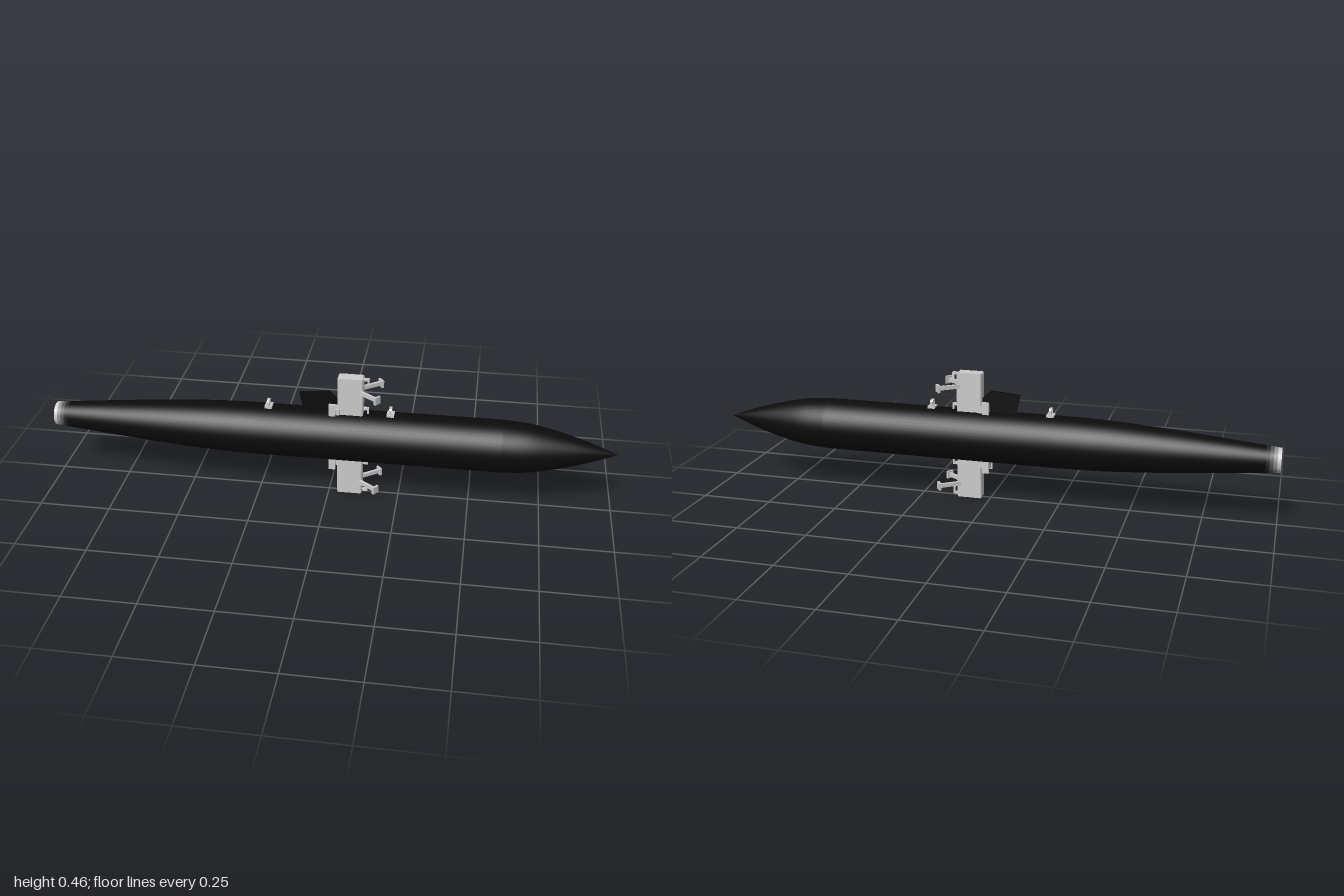
import * as THREE from 'three';

const AXIS_Y = 0.23;
const RADIUS = 0.092;

export function createModel() {
  const model = new THREE.Group();
  const grey = new THREE.MeshStandardMaterial({ color: 0xcccccc });
  const black = new THREE.MeshStandardMaterial({ color: 0x0b0b0b });

  function add(parent, name, geometry, material = grey, x = 0, y = 0, z = 0) {
    const mesh = new THREE.Mesh(geometry, material);
    mesh.name = name;
    mesh.position.set(x, y, z);
    parent.add(mesh);
    return mesh;
  }
  const box = (parent, name, w, h, d, x, y, z = 0, material = grey) =>
    add(parent, name, new THREE.BoxGeometry(w, h, d), material, x, y, z);

  // Turn a list of [x, radius] points into a round body lying along x
  function turned(name, points, material) {
    const profile = points.map(([x, r]) => new THREE.Vector2(r, x));
    const mesh = add(model, name, new THREE.LatheGeometry(profile, 48), material, 0, AXIS_Y);
    mesh.rotation.z = -Math.PI / 2;
  }

  // Body: long tapered tail, straight middle, pointed nose
  const tailCurve = new THREE.SplineCurve([
    [-1, 0.042], [-0.8, 0.06], [-0.6, 0.077], [-0.4, 0.089], [-0.25, RADIUS],
  ].map(p => new THREE.Vector2(...p)));
  const noseCurve = new THREE.SplineCurve([
    [0.6, RADIUS], [0.7, 0.0845], [0.8, 0.064], [0.9, 0.036], [1, 0],
  ].map(p => new THREE.Vector2(...p)));
  const tailPoints = tailCurve.getPoints(24).map(p => [p.x, p.y]).filter(p => p[0] > -0.95);
  const nosePoints = noseCurve.getPoints(24).map(p => [p.x, Math.max(p.y, 0)]);
  const tailRadius = x => 0.042 + (x + 1) * 0.09;
  turned('body', [[-0.95, tailRadius(-0.95)], ...tailPoints, ...nosePoints], black);

  // Tail ring, fading from light to dark, closed by a flat disc
  [0xcccccc, 0x8c8c8c, 0x555555, 0x262626].forEach((color, i) => {
    const x0 = -1 + i * 0.0125, x1 = x0 + 0.0125;
    turned('tailRing', [[x0, tailRadius(x0)], [x1, tailRadius(x1)]],
      new THREE.MeshStandardMaterial({ color }));
  });
  const disc = add(model, 'tailDisc', new THREE.CircleGeometry(0.042, 48), grey, -1, AXIS_Y);
  disc.rotation.y = -Math.PI / 2;

  // Thin swept fin on top of the body
  const fin = new THREE.Shape([
    [-0.088, 0.31], [0.035, 0.31], [0.035, 0.365], [0, 0.397], [-0.105, 0.388],
  ].map(p => new THREE.Vector2(...p)));
  add(model, 'fin', new THREE.ExtrudeGeometry(fin, { depth: 0.012, bevelEnabled: false }),
    black, 0, 0, -0.006);

  // Suspension lugs: small arches on a base
  for (const x of [-0.215, 0.215]) {
    const lug = new THREE.Group();
    lug.name = 'lug';
    lug.position.set(x, 0.32, 0);
    model.add(lug);
    box(lug, 'lugBase', 0.026, 0.01, 0.034, 0, 0.004);
    const arch = new THREE.Shape([
      [-0.014, 0], [0.014, 0], [0.014, 0.024], [0.009, 0.03], [-0.009, 0.03], [-0.014, 0.024],
    ].map(p => new THREE.Vector2(...p)));
    arch.holes.push(new THREE.Path([
      [-0.007, 0.008], [-0.007, 0.022], [0.007, 0.022], [0.007, 0.008],
    ].map(p => new THREE.Vector2(...p))));
    const ring = add(lug, 'lugArch',
      new THREE.ExtrudeGeometry(arch, { depth: 0.01, bevelEnabled: false }), grey, -0.005);
    ring.rotation.y = Math.PI / 2;
  }

  // One mast above the body and one mirrored below it
  for (const s of [1, -1]) {
    const mast = new THREE.Group();
    mast.name = s > 0 ? 'upperMast' : 'lowerMast';
    mast.position.y = AXIS_Y;
    model.add(mast);

    // Bevelled column
    const section = new THREE.Shape([
      [-0.017, 0.045], [0.017, 0.045], [0.017, 0.226], [-0.017, 0.226],
    ].map(([z, y]) => new THREE.Vector2(z * s, y * s)));
    const column = add(mast, 'column', new THREE.ExtrudeGeometry(section, {
      depth: 0.082, bevelThickness: 0.004, bevelSize: 0.004, bevelSegments: 1,
    }), grey, 0.034);
    column.rotation.y = Math.PI / 2;

    // Stepped bracket behind the column
    box(mast, 'bracketCore', 0.028, 0.065, 0.028, 0.018, s * 0.088);
    for (const side of [1, -1]) {
      box(mast, 'bracketCheek', 0.024, 0.07, 0.011, 0.013, s * 0.095, side * 0.0255);
      box(mast, 'bracketRib', 0.016, 0.055, 0.007, 0.03, s * 0.085, side * 0.021);
    }

    // Hooks on the leading face
    for (const y of [0.215, 0.102]) {
      box(mast, 'hookStem', 0.018, 0.008, 0.012, 0.128, s * (y + 0.008));
      box(mast, 'hookTip', 0.006, 0.024, 0.012, 0.136, s * y);
    }

    // Splayed arms ending in square pads
    for (const side of [1, -1]) {
      const arm = new THREE.Group();
      arm.name = 'arm';
      arm.position.set(0.105, s * 0.18, side * 0.014);
      arm.rotation.y = -side * 0.64;
      mast.add(arm);
      box(arm, 'armBar', 0.084, 0.014, 0.01, 0.042, 0);
      box(arm, 'armPad', 0.008, 0.027, 0.026, 0.085, 0);
    }
  }

  return model;
}
